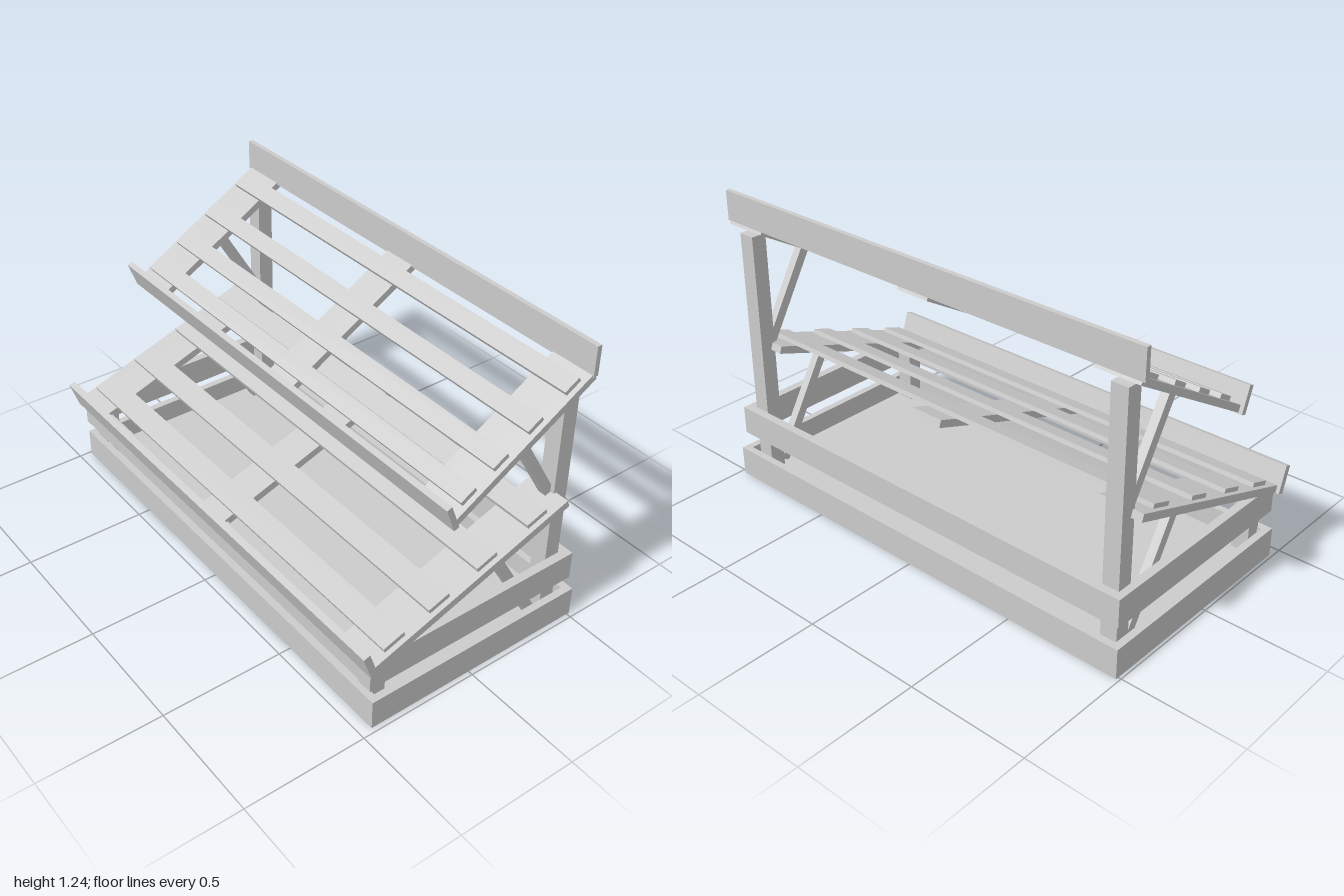
import * as THREE from 'three';

const material = new THREE.MeshStandardMaterial({ color: 0xcccccc, flatShading: true });
const rad = THREE.MathUtils.degToRad;

// Box given by its min/max extent on each axis
function board(parent, name, [x0, x1], [y0, y1], [z0, z1]) {
  const mesh = new THREE.Mesh(new THREE.BoxGeometry(x1 - x0, y1 - y0, z1 - z0), material);
  mesh.position.set((x0 + x1) / 2, (y0 + y1) / 2, (z0 + z1) / 2);
  mesh.name = name;
  parent.add(mesh);
  return mesh;
}

// Rectangular frame of four upright boards
function frame(parent, name, [x0, x1], y, [z0, z1], t) {
  const g = new THREE.Group();
  g.name = name;
  board(g, 'frontBoard', [x0, x1], y, [z1 - t, z1]);
  board(g, 'backBoard', [x0, x1], y, [z0, z0 + t]);
  board(g, 'rightBoard', [x0, x0 + t], y, [z0 + t, z1 - t]);
  board(g, 'leftBoard', [x1 - t, x1], y, [z0 + t, z1 - t]);
  parent.add(g);
}

// Sloping shelf: origin at its lower front edge, rising towards -z
function shelf(parent, name, o) {
  const g = new THREE.Group();
  g.name = name;
  g.position.set(0, o.y, o.z);
  g.rotation.x = rad(o.angle);
  for (const x of [[-0.985, -0.8], [-0.075, 0.07], [0.81, 0.995]])
    board(g, 'rail', x, [0, o.thick], [-o.length, -0.005]);
  for (const s of o.slats)
    board(g, 'slat', [-0.965, 0.975], [o.thick, o.thick + 0.018], [-s - o.slatWidth / 2, -s + o.slatWidth / 2]);
  // Front lip, leaning outwards
  const lip = new THREE.Group();
  lip.name = 'lip';
  lip.rotation.x = rad(o.lipLean - o.angle);
  board(lip, 'lipBoard', [-1, 1], [0, o.lipHeight], [-o.lipThick, 0]);
  g.add(lip);
  parent.add(g);
}

// Diagonal strut between two [z, y] points
function strut(parent, name, x, [z0, y0], [z1, y1]) {
  const mesh = new THREE.Mesh(
    new THREE.BoxGeometry(0.035, Math.hypot(z1 - z0, y1 - y0), 0.04), material);
  mesh.position.set(x, (y0 + y1) / 2, (z0 + z1) / 2);
  mesh.rotation.x = Math.atan2(z1 - z0, y1 - y0);
  mesh.name = name;
  parent.add(mesh);
}

export function createModel() {
  const model = new THREE.Group();
  model.name = 'displayStand';

  // Base tray and the raised frame above it
  frame(model, 'baseFrame', [-0.988, 0.98], [0, 0.123], [-0.513, 0.45], 0.03);
  board(model, 'baseFloor', [-0.96, 0.952], [0.02, 0.035], [-0.485, 0.422]);
  frame(model, 'upperFrame', [-0.97, 0.975], [0.19, 0.308], [-0.49, 0.46], 0.035);

  // Posts and struts on both sides
  for (const x of [-0.905, 0.9]) {
    board(model, 'frontPost', [x - 0.035, x + 0.035], [0.02, 0.3], [0.36, 0.425]);
    board(model, 'backPost', [x - 0.035, x + 0.035], [0.02, 1.08], [-0.455, -0.39]);
    strut(model, 'lowerStrut', x, [-0.37, 0.04], [-0.112, 0.48]);
    strut(model, 'upperStrut', x, [-0.4, 0.582], [-0.185, 0.948]);
  }

  shelf(model, 'lowerShelf', {
    y: 0.273, z: 0.475, angle: 19.2, length: 0.937, thick: 0.031,
    slats: [0.136, 0.342, 0.567, 0.808], slatWidth: 0.093,
    lipLean: 18.8, lipHeight: 0.114, lipThick: 0.028,
  });
  shelf(model, 'upperShelf', {
    y: 0.751, z: 0.148, angle: 30.3, length: 0.7, thick: 0.028,
    slats: [0.114, 0.27, 0.439, 0.621], slatWidth: 0.07,
    lipLean: 20.5, lipHeight: 0.109, lipThick: 0.023,
  });

  // Upright board along the back of the upper shelf
  board(model, 'backRail', [-1, 1], [1.118, 1.24], [-0.456, -0.436]);
  return model;
}
